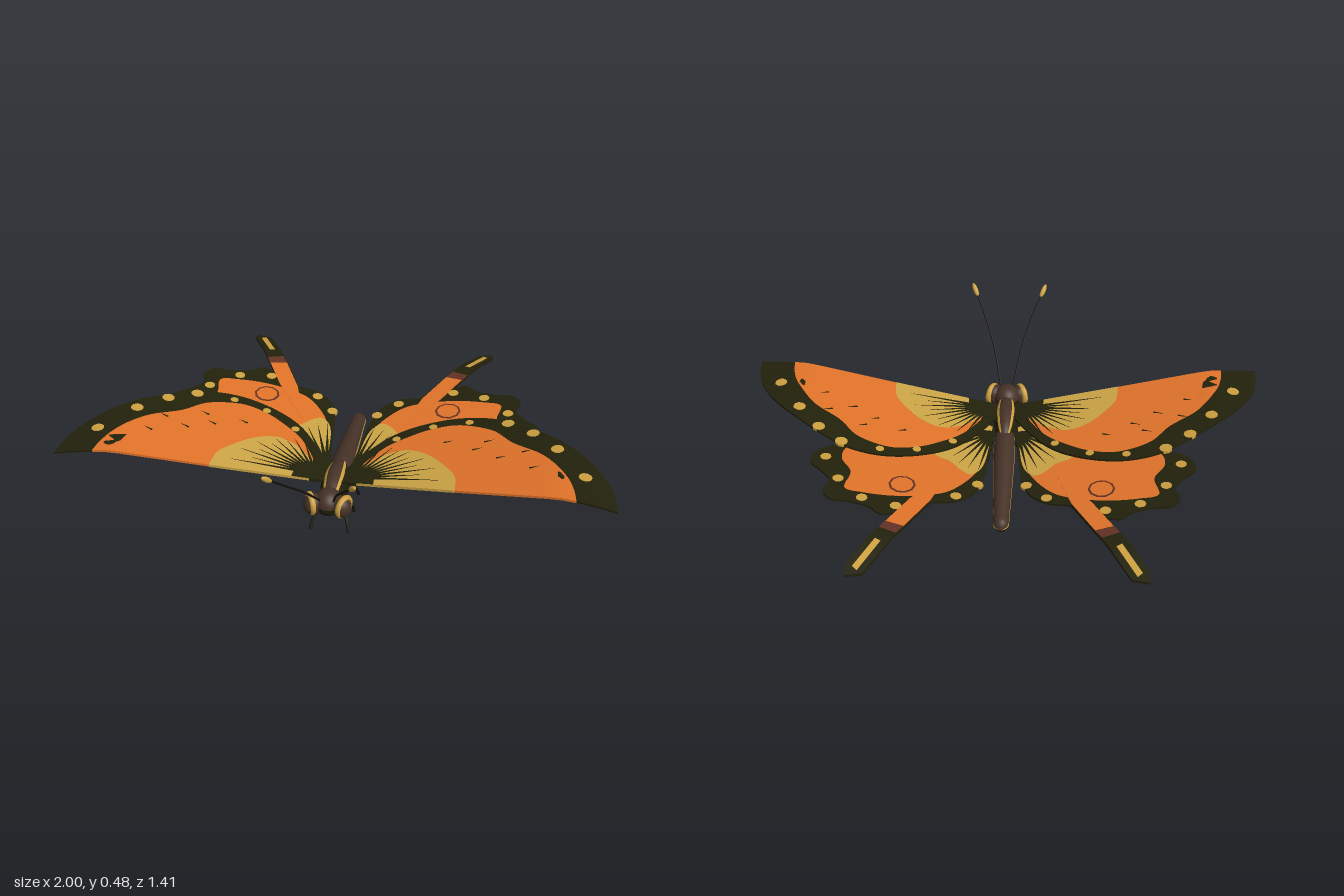
import * as THREE from 'three';
import { toCreasedNormals } from 'three/addons/utils/BufferGeometryUtils.js';

const paint = (name, color) => {
  const m = new THREE.MeshStandardMaterial({ color });
  m.name = name;
  return m;
};

// Height rules for the wings, seen from above (x outward, z forward)
const foreHeight = (x) => {
  const k = [[0, 0.165], [0.2, 0.193], [0.47, 0.232], [0.8, 0.282], [0.9, 0.28], [1.01, 0.266]];
  let i = 1;
  while (i < k.length - 1 && x > k[i][0]) i++;
  const [a, b] = [k[i - 1], k[i]];
  return a[1] + (b[1] - a[1]) * (x - a[0]) / (b[0] - a[0]);
};
const hindHeight = (x, z) => 0.135 + 0.085 * x - 0.05 * z - 0.26 * Math.max(0, -z - 0.55);

// Split long edges so that a flat plate can be bent
function subdivide(geo, limit) {
  const p = geo.attributes.position, out = [];
  const split = (a, b, c) => {
    const l = [a.distanceTo(b), b.distanceTo(c), c.distanceTo(a)];
    const m = Math.max(...l);
    if (m <= limit) { for (const v of [a, b, c]) out.push(v.x, v.y, v.z); return; }
    if (m === l[1]) [a, b, c] = [b, c, a];
    else if (m === l[2]) [a, b, c] = [c, a, b];
    const h = a.clone().add(b).multiplyScalar(0.5);
    split(a, h, c);
    split(h, b, c);
  };
  const v = (i) => new THREE.Vector3().fromBufferAttribute(p, i);
  for (let i = 0; i < p.count; i += 3) split(v(i), v(i + 1), v(i + 2));
  const g = new THREE.BufferGeometry();
  g.setAttribute('position', new THREE.Float32BufferAttribute(out, 3));
  return g;
}

// Outline of straight corners followed by a smooth run, in x and z
function outline(corners, curve, s) {
  const pts = [...corners, ...curve].map(([x, z]) => new THREE.Vector2(x * s, -z));
  const shape = new THREE.Shape();
  shape.moveTo(pts[0].x, pts[0].y);
  for (let i = 1; i < corners.length; i++) shape.lineTo(pts[i].x, pts[i].y);
  if (curve.length) shape.splineThru(pts.slice(corners.length));
  return shape;
}
function dot([x, z], r, s) {
  const shape = new THREE.Shape();
  shape.absarc(x * s, -z, r, 0, Math.PI * 2);
  return shape;
}

export function createModel() {
  const model = new THREE.Group();
  model.name = 'butterfly';
  const dark = paint('dark olive', 0x22210b);
  const orange = paint('orange', 0xe2742a);
  const yellow = paint('mustard', 0xcda546);
  const gold = paint('gold', 0xcda040);
  const brown = paint('brown', 0x463227);
  const maroon = paint('maroon', 0x643224);
  const black = paint('black', 0x17130e);
  const add = (parent, name, geo, mat) => {
    const m = new THREE.Mesh(geo, mat);
    m.name = name;
    parent.add(m);
    return m;
  };

  // A thin plate bent to the wing, painted on both faces; higher layers are slightly thicker
  const plate = (parent, name, shape, layer, height, mat) => {
    const t = 0.008 + layer * 0.0012;
    let g = new THREE.ExtrudeGeometry(shape, { depth: t, bevelEnabled: false, curveSegments: 5 });
    g.translate(0, 0, -t / 2).rotateX(-Math.PI / 2);
    g = subdivide(g.index ? g.toNonIndexed() : g, 0.08);
    const p = g.attributes.position;
    for (let i = 0; i < p.count; i++) p.setY(i, p.getY(i) + height(Math.abs(p.getX(i)), p.getZ(i)));
    add(parent, name, toCreasedNormals(g, 0.6), mat);
  };
  // Narrow pointed streak from one point to another
  const streak = (a, b, w, s) => {
    const dx = b[0] - a[0], dz = b[1] - a[1], l = Math.hypot(dx, dz);
    const nx = -dz / l * w, nz = dx / l * w;
    return outline([[a[0] + nx, a[1] + nz], b, [a[0] - nx, a[1] - nz]], [], s);
  };

  for (const s of [1, -1]) {
    const side = s > 0 ? 'left' : 'right';

    // Forewing
    const fore = new THREE.Group();
    fore.name = side + 'Forewing';
    model.add(fore);
    const F = (name, shape, layer, mat) => plate(fore, name, shape, layer, foreHeight, mat);
    F('foreBorder', outline([[0.03, 0.275], [1, 0.405]], [[0.985, 0.3], [0.95, 0.215], [0.89, 0.125], [0.8, 0.035],
      [0.68, -0.055], [0.58, -0.11], [0.47, -0.13], [0.36, -0.115], [0.25, -0.07], [0.17, -0.01], [0.1, 0.08], [0.03, 0.2]], s), 0, dark);
    F('forePanel', outline([[0.08, 0.283], [0.86, 0.387]], [[0.85, 0.32], [0.82, 0.24], [0.74, 0.125], [0.63, 0.045],
      [0.55, -0.04], [0.43, -0.08], [0.33, -0.06], [0.25, -0.015], [0.16, 0.06], [0.09, 0.17]], s), 1, orange);
    F('foreFan', outline([[0.08, 0.2835], [0.445, 0.3325]], [[0.437, 0.25], [0.4, 0.19], [0.33, 0.115], [0.25, 0.08],
      [0.18, 0.1], [0.13, 0.14], [0.09, 0.2]], s), 2, yellow);
    F('foreRoot', outline([[0.05, 0.28], [0.15, 0.292]], [[0.145, 0.25], [0.12, 0.21], [0.08, 0.185], [0.05, 0.19]], s), 3, dark);
    for (let i = 0; i < 11; i++) {
      const a = -0.08 + i * 0.145, r = i % 2 ? 0.24 : 0.31 - i * 0.008;
      F('foreStreak', streak([0.07, 0.25], [0.07 + Math.cos(a) * r, 0.25 - Math.sin(a) * r * 0.85], 0.0075, s), 4, dark);
    }
    for (const [x, z] of [[0.71, 0.2], [0.59, 0.135], [0.5, 0.08], [0.39, 0.03], [0.54, 0.03], [0.68, 0.1]])
      F('foreDash', streak([x - 0.015, z + 0.005], [x + 0.02, z - 0.008], 0.0045, s), 2, dark);
    for (const c of [[0.89, 0.245], [0.79, 0.09], [0.7, -0.015], [0.605, -0.085], [0.46, -0.098], [0.325, -0.072], [0.195, 0.005]])
      F('foreSpot', dot(c, c[0] > 0.6 ? 0.024 : 0.016, s), 2, gold);

    // Hindwing, its panel running to the front edge under the forewing
    const hind = new THREE.Group();
    hind.name = side + 'Hindwing';
    model.add(hind);
    const H = (name, shape, layer, mat) => plate(hind, name, shape, layer, hindHeight, mat);
    H('hindBorder', outline([[0.03, 0.2]], [[0.055, 0], [0.07, -0.15], [0.1, -0.25], [0.17, -0.31], [0.26, -0.33], [0.34, -0.385],
      [0.42, -0.415], [0.47, -0.38], [0.54, -0.36], [0.61, -0.355], [0.645, -0.31], [0.63, -0.25], [0.67, -0.195],
      [0.715, -0.15], [0.71, -0.09], [0.66, -0.04], [0.5, 0.02], [0.3, 0.12], [0.1, 0.2]], s), 0, dark);
    H('hindPanel', outline([[0.06, 0.19]], [[0.075, 0], [0.1, -0.13], [0.18, -0.245], [0.27, -0.29], [0.39, -0.31], [0.5, -0.305],
      [0.57, -0.285], [0.56, -0.19], [0.605, -0.11], [0.59, -0.03], [0.5, 0.015], [0.3, 0.115], [0.1, 0.195]], s), 1, orange);
    H('hindFan', outline([[0.05, 0.18]], [[0.07, -0.06], [0.11, -0.14], [0.15, -0.13], [0.2, -0.075], [0.26, -0.04], [0.29, 0.04], [0.27, 0.12], [0.1, 0.192]], s), 2, yellow);
    for (let i = 0; i < 8; i++) {
      const a = -0.05 + i * 0.2;
      H('hindStreak', streak([0.05, 0.14], [0.05 + Math.cos(a) * 0.2, 0.14 - Math.sin(a) * 0.27], 0.009, s), 3, dark);
    }
    for (const c of [[0.5, -0.335], [0.6, -0.235], [0.665, -0.11], [0.375, -0.365], [0.165, -0.28], [0.09, -0.2]])
      H('hindSpot', dot(c, 0.021, s), 2, gold);
    H('eyespotRing', dot([0.365, -0.24], 0.05, s), 3, maroon);
    H('eyespot', dot([0.365, -0.24], 0.042, s), 4, orange);

    // Wing tail
    H('tailTip', outline([[0.25, -0.32], [0.335, -0.48], [0.452, -0.695], [0.512, -0.708], [0.514, -0.665], [0.41, -0.47], [0.34, -0.34]], [], s), 2, dark);
    H('tailStripe', outline([[0.19, -0.11], [0.255, -0.32], [0.34, -0.485], [0.402, -0.458], [0.33, -0.32]], [], s), 3, orange);
    H('tailBand', outline([[0.335, -0.475], [0.358, -0.515], [0.42, -0.49], [0.402, -0.455]], [], s), 4, maroon);
    H('tailMark', outline([[0.405, -0.56], [0.472, -0.685], [0.49, -0.67], [0.425, -0.55]], [], s), 3, gold);

    // Eye with its gold ring
    const eye = add(model, side + 'Eye', new THREE.SphereGeometry(0.038, 20, 14), brown);
    eye.position.set(s * 0.052, 0.148, 0.385);
    eye.scale.set(0.95, 1.1, 1);
    const ring = add(model, side + 'EyeRing', new THREE.TorusGeometry(0.033, 0.012, 8, 24), gold);
    ring.position.set(s * 0.06, 0.15, 0.385);
    ring.rotation.y = s * 1.1;

    // Antenna and club
    const path = new THREE.CatmullRomCurve3([[0.025, 0.18, 0.4], [0.058, 0.3, 0.515], [0.098, 0.388, 0.605], [0.138, 0.46, 0.675]]
      .map(([x, y, z]) => new THREE.Vector3(x * s, y, z)));
    add(model, side + 'Antenna', new THREE.TubeGeometry(path, 16, 0.004, 6), black);
    const club = add(model, side + 'AntennaClub', new THREE.SphereGeometry(1, 12, 8), gold);
    club.scale.set(0.01, 0.03, 0.01);
    club.position.set(s * 0.14, 0.464, 0.68);
    club.quaternion.setFromUnitVectors(new THREE.Vector3(0, 1, 0), path.getTangent(1));

    // Legs
    for (const [z0, z1] of [[0.3, 0.355], [0.235, 0.225], [0.165, 0.12]]) {
      const leg = new THREE.QuadraticBezierCurve3(new THREE.Vector3(s * 0.03, 0.075, z0),
        new THREE.Vector3(s * 0.065, 0.065, (z0 + z1) / 2), new THREE.Vector3(s * 0.07, 0.005, z1));
      add(model, side + 'Leg', new THREE.TubeGeometry(leg, 8, 0.006, 6), black);
    }
  }

  // Body pieces turned along z, split lengthwise into colour strips
  const strips = (name, profile, list, place) => {
    const pts = new THREE.SplineCurve(profile.map(([r, y]) => new THREE.Vector2(r, y))).getPoints(24)
      .map((p) => new THREE.Vector2(Math.max(p.x, 0), p.y));
    const group = new THREE.Group();
    group.name = name;
    for (const [part, from, to, mat] of list) {
      const g = new THREE.LatheGeometry(pts, 8, from, to - from);
      add(group, part, g.rotateX(-Math.PI / 2), mat);
    }
    place(group);
    model.add(group);
  };
  strips('abdomen', [[0, 0], [0.034, 0.03], [0.042, 0.12], [0.037, 0.3], [0.031, 0.45], [0.027, 0.505], [0, 0.525]], [
    ['abdomenTop', -1.3, 1.3, brown], ['abdomenLeftStripe', 1.3, 1.7, gold],
    ['abdomenBelly', 1.7, 4.583, dark], ['abdomenRightStripe', 4.583, 4.983, gold]],
  (g) => { g.position.set(0, 0.126, 0.185); g.rotation.x = -0.145; });
  strips('thorax', [[0, -0.145], [0.034, -0.125], [0.062, -0.06], [0.07, 0.01], [0.056, 0.08], [0.03, 0.125], [0, 0.14]], [
    ['thoraxTop', -0.5, 0.5, brown], ['thoraxLeftStripe', 0.5, 0.75, gold],
    ['thoraxBelly', 0.75, 5.533, dark], ['thoraxRightStripe', 5.533, 5.783, gold]],
  (g) => { g.position.set(0, 0.122, 0.235); g.scale.set(0.72, 1.03, 1); });

  // Head, brown above and dark below
  for (const [name, from, mat] of [['headTop', 0, brown], ['headBottom', Math.PI / 2, dark]]) {
    const head = add(model, name, new THREE.SphereGeometry(1, 24, 8, 0, Math.PI * 2, from, Math.PI / 2), mat);
    head.position.set(0, 0.15, 0.365);
    head.scale.set(0.05, 0.05, 0.055);
  }
  return model;
}
